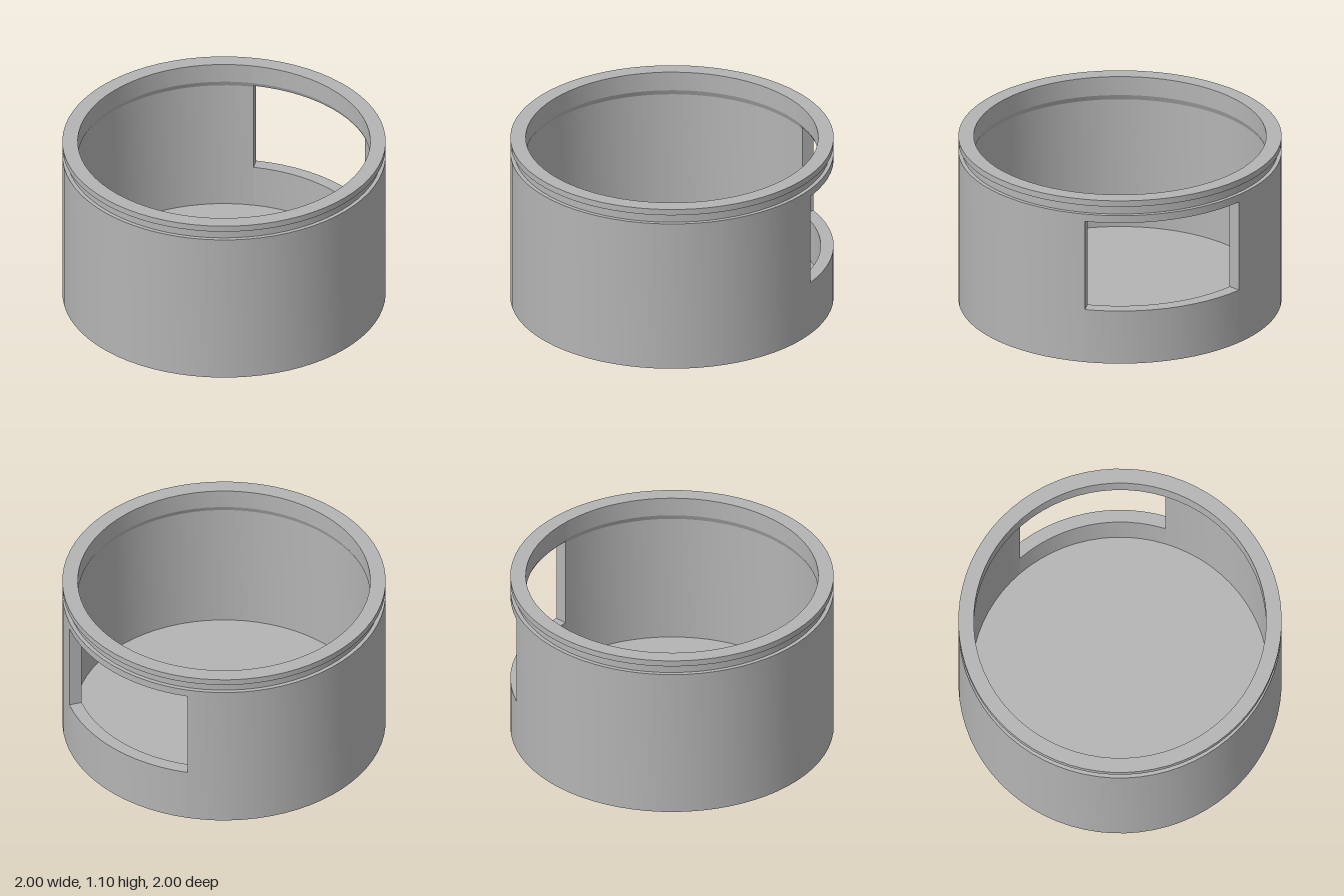
import * as THREE from 'three';
import { toCreasedNormals } from 'three/addons/utils/BufferGeometryUtils.js';

const rad = THREE.MathUtils.degToRad;
const OUTER = 1, INNER = 0.92, LIP = 0.905;
const SILL = 0.355, HEAD = 0.95;      // window bottom and top
const EDGE_A = 10, EDGE_B = 70;       // window edges, degrees from +x towards -z

// Cross-section pieces as [radius, height], followed so that faces point outwards
const under = [[0, 0], [OUTER, 0]];
const rim = [[OUTER, 1], [0.975, 1], [0.975, 1.06], [OUTER, 1.06], [OUTER, 1.1], [LIP, 1.1], [LIP, 0.975]];
const floor = [[INNER, 0.08], [0, 0.08]];
const headInner = [0.916, HEAD];      // point on the sloped underside of the lip

export function createModel() {
  const group = new THREE.Group();
  const grey = new THREE.MeshStandardMaterial({ color: 0xb4b4b4 });
  grey.name = 'grey';

  const add = (name, geometry) => {
    const mesh = new THREE.Mesh(geometry, grey);
    mesh.name = name;
    group.add(mesh);
    return mesh;
  };

  // Sweep a profile around y between two angles, with sharp profile edges
  const sweep = (name, profile, from, to) => {
    const points = profile.map(([r, y]) => new THREE.Vector2(r, y));
    const geometry = new THREE.LatheGeometry(points, (to - from) / 5, rad(from + 90), rad(to - from));
    return add(name, toCreasedNormals(geometry, 0.3));
  };

  // Container wall, floor and grooved rim, all round except the window
  sweep('body', [...under, ...rim, [INNER, 0.94], ...floor], EDGE_B, EDGE_A + 360);

  // Wall below and above the window
  sweep('windowSill', [...under, [OUTER, SILL], [INNER, SILL], ...floor], EDGE_A, EDGE_B);
  sweep('windowHead', [headInner, [OUTER, HEAD], ...rim, headInner], EDGE_A, EDGE_B);

  // Radial wall ends on both sides of the window
  const section = [[INNER, SILL], [OUTER, SILL], [OUTER, HEAD], headInner, [INNER, 0.94]];
  const jamb = (name, angle, sign) => {
    const shape = new THREE.Shape(section.map(([r, y]) => new THREE.Vector2(sign * r, y)));
    add(name, new THREE.ShapeGeometry(shape)).rotation.y = rad(angle) + (sign < 0 ? Math.PI : 0);
  };
  jamb('windowJambFront', EDGE_A, -1);
  jamb('windowJambBack', EDGE_B, 1);

  return group;
}
